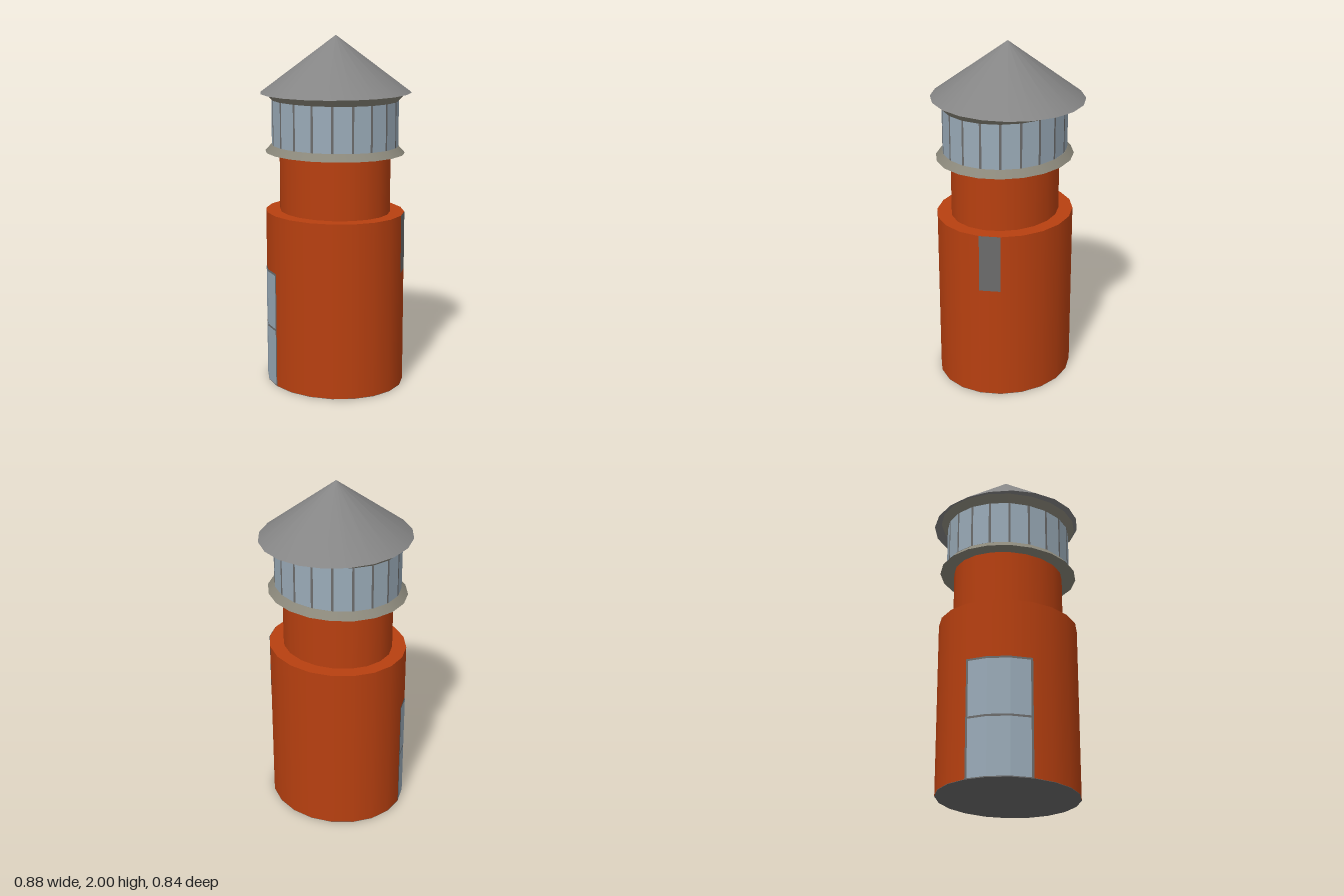
import * as THREE from 'three';

const SIDES = 20;
const CX = -0.016, CZ = 0.005; // axis of the tower, slightly off the roof axis
const BODY = [0.378, 0.411], SHAFT = [0.296, 0.33], LANTERN = [0.341, 0.375];

const mat = (color, side = THREE.FrontSide) => new THREE.MeshStandardMaterial({ color, side });
const brick = mat(0xb84010);
const roofGrey = mat(0x858585);
const trim = mat(0x8a877a);
const frame = mat(0x6c6c6c, THREE.DoubleSide);
const glass = mat(0x9aabb8, THREE.DoubleSide);

export function createModel() {
  const model = new THREE.Group();
  const tower = new THREE.Group();
  tower.name = 'tower';
  tower.position.set(CX, 0, CZ);
  model.add(tower);

  const add = (parent, name, geometry, material) => {
    const mesh = new THREE.Mesh(geometry, material);
    mesh.name = name;
    parent.add(mesh);
    return mesh;
  };

  // Elliptical drum; top and bottom are factors of the radii
  const drum = ([rx, rz], y0, y1, top = 1, bottom = 1, open = false) =>
    new THREE.CylinderGeometry(top, bottom, y1 - y0, SIDES, 1, open)
      .scale(rx, 1, rz)
      .translate(0, (y0 + y1) / 2, 0);

  // Flat panel on wall facet k, from fraction a to b of its width, lifted off by a factor
  const panel = ([rx, rz], k, y0, y1, a = 0, b = 1, lift = 1.003) => {
    const corner = (i) => {
      const t = (i / SIDES) * Math.PI * 2;
      return new THREE.Vector3(Math.sin(t) * rx * lift, 0, Math.cos(t) * rz * lift);
    };
    const geometry = new THREE.PlaneGeometry(1, 1);
    const pos = geometry.attributes.position;
    for (let i = 0; i < pos.count; i++) {
      const p = corner(k).lerp(corner(k + 1), pos.getX(i) < 0 ? a : b);
      pos.setXYZ(i, p.x, pos.getY(i) < 0 ? y0 : y1, p.z);
    }
    geometry.computeVertexNormals();
    return geometry;
  };

  // Brick tower
  add(tower, 'lowerBody', drum(BODY, 0.002, 1.005), brick);
  add(tower, 'floor', drum(BODY, 0, 0.002), frame);
  add(tower, 'upperShaft', drum(SHAFT, 1.005, 1.345), brick);

  // Window on one front facet
  add(tower, 'window', panel(BODY, 1, 0.67, 1.005), frame);

  // Door over three back facets: frame with two rows of glass
  const door = new THREE.Group();
  door.name = 'door';
  tower.add(door);
  for (let i = 0; i < 3; i++) {
    const k = 11 + i;
    add(door, 'doorFrame', panel(BODY, k, 0, 0.67), frame);
    const a = i === 0 ? 0.1 : 0, b = i === 2 ? 0.9 : 1;
    for (const [y0, y1] of [[0.005, 0.329], [0.341, 0.658]]) {
      add(door, 'doorGlass', panel(BODY, k, y0, y1, a, b, 1.006), glass);
    }
  }

  // Lantern room: flared rings, mullions and one pane per facet
  const lantern = new THREE.Group();
  lantern.name = 'lanternRoom';
  tower.add(lantern);
  add(lantern, 'lowerRing', drum(BODY, 1.345, 1.385, 0.907, 1), trim);
  add(lantern, 'mullions', drum(LANTERN, 1.385, 1.64, 0.997, 0.997, true), frame);
  add(lantern, 'upperRing', drum(BODY, 1.64, 1.68, 1, 0.907), trim);
  for (let k = 0; k < SIDES; k++) {
    add(lantern, 'pane', panel(LANTERN, k, 1.385, 1.64, 0.06, 0.94, 1), glass);
  }

  // Conical roof
  const roof = new THREE.ConeGeometry(1, 0.32, SIDES).scale(0.44, 1, 0.42).translate(0, 1.84, 0);
  add(model, 'roof', roof, roofGrey);

  return model;
}
